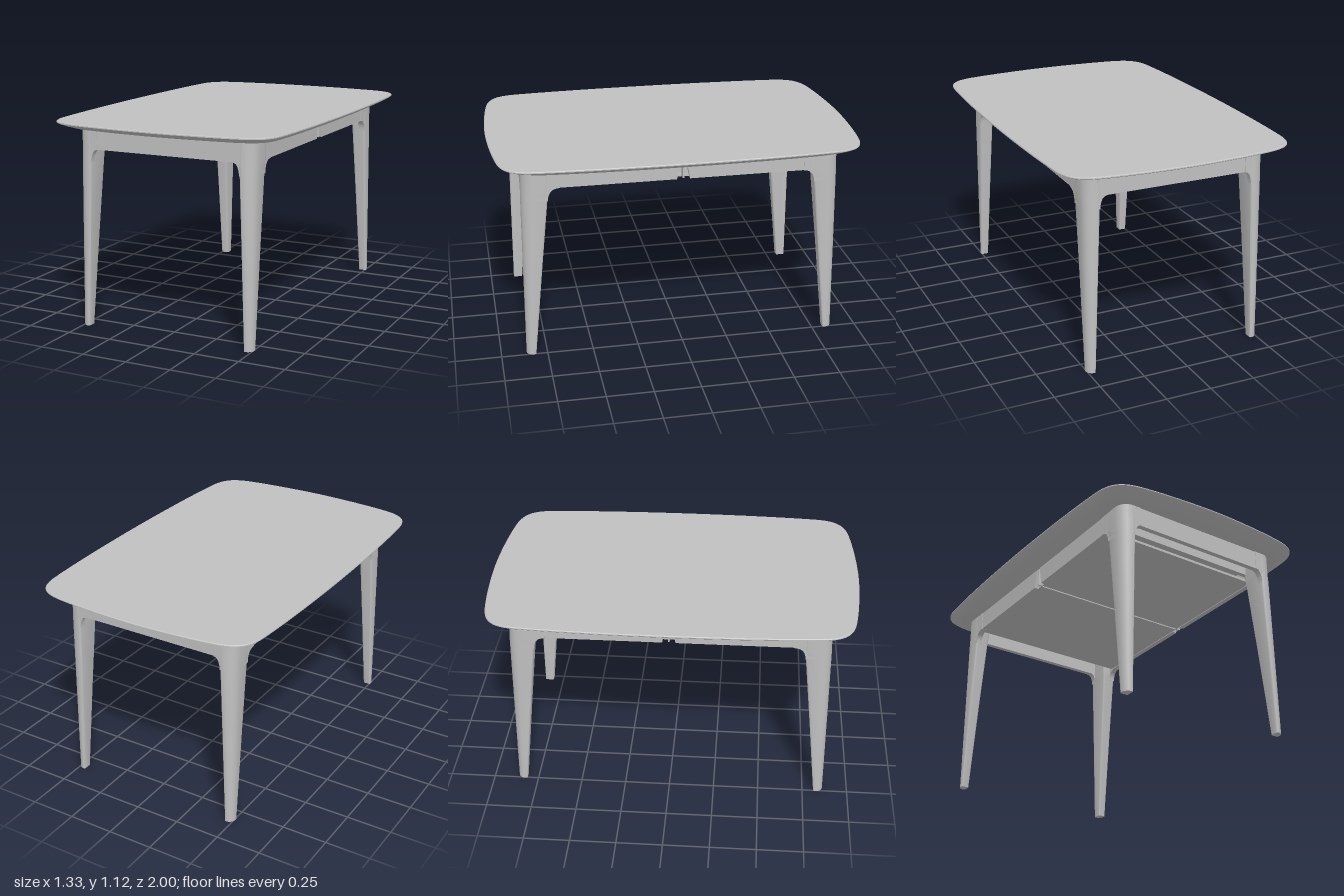
import * as THREE from 'three';
import { toCreasedNormals } from 'three/addons/utils/BufferGeometryUtils.js';

const TOP = 1.077; // underside of the table top

// Skin a stack of rings (bottom to top, each running from +x towards +z) and cap both ends
function loft(rings, flip = false) {
  const n = rings[0].length, pos = [], idx = [];
  const tri = (a, b, c) => (flip ? idx.push(a, c, b) : idx.push(a, b, c));
  rings.forEach(r => r.forEach(p => pos.push(p.x, p.y, p.z)));
  const centre = r => {
    const c = new THREE.Vector3();
    r.forEach(p => c.add(p));
    c.divideScalar(n);
    return pos.push(c.x, c.y, c.z) / 3 - 1;
  };
  const last = (rings.length - 1) * n;
  const c0 = centre(rings[0]), c1 = centre(rings[rings.length - 1]);
  for (let j = 0; j < n; j++) {
    const k = (j + 1) % n;
    for (let i = 0; i < last; i += n) {
      tri(i + j, i + n + j, i + k);
      tri(i + k, i + n + j, i + n + k);
    }
    tri(c0, j, k);
    tri(c1, last + k, last + j);
  }
  const g = new THREE.BufferGeometry();
  g.setAttribute('position', new THREE.Float32BufferAttribute(pos, 3));
  g.setIndex(idx);
  return toCreasedNormals(g, 0.6);
}

// Bowed rounded-rectangle outline of the table top
function topOutline() {
  const V = (x, z) => new THREE.Vector2(x, z);
  const q = [
    new THREE.CubicBezierCurve(V(0.665, 0), V(0.665, 0.3), V(0.655, 0.6), V(0.64, 0.78)),
    new THREE.CubicBezierCurve(V(0.64, 0.78), V(0.632, 0.9), V(0.585, 0.945), V(0.48, 0.965)),
    new THREE.CubicBezierCurve(V(0.48, 0.965), V(0.36, 0.985), V(0.15, 1), V(0, 1)),
  ].flatMap(c => c.getPoints(12).slice(0, -1));
  q.push(V(0, 1));
  const half = [...q, ...q.slice(1, -1).reverse().map(p => V(-p.x, p.y)), V(-0.665, 0)];
  return [...half, ...half.slice(1, -1).reverse().map(p => V(p.x, -p.y))];
}

// Leg cross-section: large radius on the outer corner, small ones elsewhere
function legRing(y, xi, xo, zi, zo, sx, sz) {
  const w = xo - xi, R = w * 0.8, r = w * 0.15, ring = [];
  const corner = (cx, cz, rad, a0) => {
    for (let i = 0; i <= 6; i++) {
      const a = a0 + (i / 6) * Math.PI / 2;
      ring.push(new THREE.Vector3(sx * (cx + rad * Math.cos(a)), y, sz * (cz + rad * Math.sin(a))));
    }
  };
  corner(xo - R, zo - R, R, 0);
  corner(xi + r, zo - r, r, Math.PI / 2);
  corner(xi + r, zi + r, r, Math.PI);
  corner(xo - r, zi + r, r, Math.PI * 1.5);
  return ring;
}

// Plate drawn in x/y, centred in depth
function plate(shape, depth) {
  const g = new THREE.ExtrudeGeometry(shape, { depth, bevelEnabled: false, curveSegments: 10 });
  return toCreasedNormals(g.translate(0, 0, -depth / 2), 0.5);
}

// Filleted shoulder joining a leg to an apron
function shoulder(s, root, inner, end) {
  const sh = new THREE.Shape();
  sh.moveTo(s * root, TOP);
  sh.lineTo(s * root, 0.9);
  sh.lineTo(s * inner, 0.9);
  sh.quadraticCurveTo(s * (inner - 0.004), 0.967, s * end, 0.967);
  sh.lineTo(s * end, TOP);
  sh.closePath();
  return plate(sh, 0.034);
}

export function createModel() {
  const model = new THREE.Group();
  model.name = 'diningTable';
  const grey = new THREE.MeshStandardMaterial({ color: 0xc0c0c0 });
  grey.name = 'lightGrey';
  const add = (name, geo, x = 0, y = 0, z = 0) => {
    const m = new THREE.Mesh(geo, grey);
    m.name = name;
    m.position.set(x, y, z);
    model.add(m);
    return m;
  };
  const box = (name, w, h, d, x, y, z) => add(name, new THREE.BoxGeometry(w, h, d), x, y, z);

  // Table top with an undercut edge
  const outline = topOutline();
  const edge = [[0.92, 1.075], [0.935, 1.08], [0.965, 1.09], [0.99, 1.1], [1, 1.106], [1, 1.111], [0.995, 1.115]];
  add('tableTop', loft(edge.map(([s, y]) => outline.map(p => new THREE.Vector3(p.x * s, y, p.y * s)))));

  // Tapered legs: y, inner x, outer x, inner z, outer z
  const sections = [
    [0, 0.461, 0.505, 0.812, 0.863],
    [0.5, 0.444, 0.507, 0.76, 0.858],
    [0.92, 0.429, 0.509, 0.714, 0.853],
    [0.97, 0.425, 0.51, 0.708, 0.851],
    [TOP, 0.425, 0.51, 0.708, 0.85],
  ];
  for (const sx of [-1, 1]) for (const sz of [-1, 1]) {
    add('leg', loft(sections.map(s => legRing(...s, sx, sz)), sx * sz < 0));
    add('endShoulder', shoulder(sx, 0.445, 0.429, 0.392), 0, 0, sz * 0.833);
    add('sideShoulder', shoulder(sz, 0.78, 0.715, 0.655).rotateY(-Math.PI / 2), sx * 0.492, 0, 0);
  }

  // End aprons and the cross rails behind them
  for (const sz of [-1, 1]) {
    box('endApron', 0.81, 0.108, 0.028, 0, 1.022, sz * 0.833);
    box('crossRail', 0.95, 0.08, 0.025, 0, 1.036, sz * 0.71);
  }

  // Side aprons, each in two halves with a slanted notch and a bracket at the middle
  for (const sx of [-1, 1]) {
    for (const sz of [-1, 1]) {
      const sh = new THREE.Shape();
      sh.moveTo(sz * 0.66, TOP);
      sh.lineTo(sz * 0.66, 0.968);
      sh.lineTo(sz * 0.035, 0.968);
      sh.lineTo(sz * 0.014, TOP);
      sh.closePath();
      add('sideApron', plate(sh, 0.028).rotateY(-Math.PI / 2), sx * 0.492, 0, 0);
    }
    box('centreBracket', 0.03, 0.105, 0.008, sx * 0.49, 1.024, 0);
  }

  // Underside panels between the side aprons, with a seam over a centre rail
  for (const sz of [-1, 1]) box('underPanel', 0.96, 0.014, 0.69, 0, 0.979, sz * 0.35);
  box('centreRail', 0.94, 0.09, 0.06, 0, 1.031, 0);
  return model;
}
